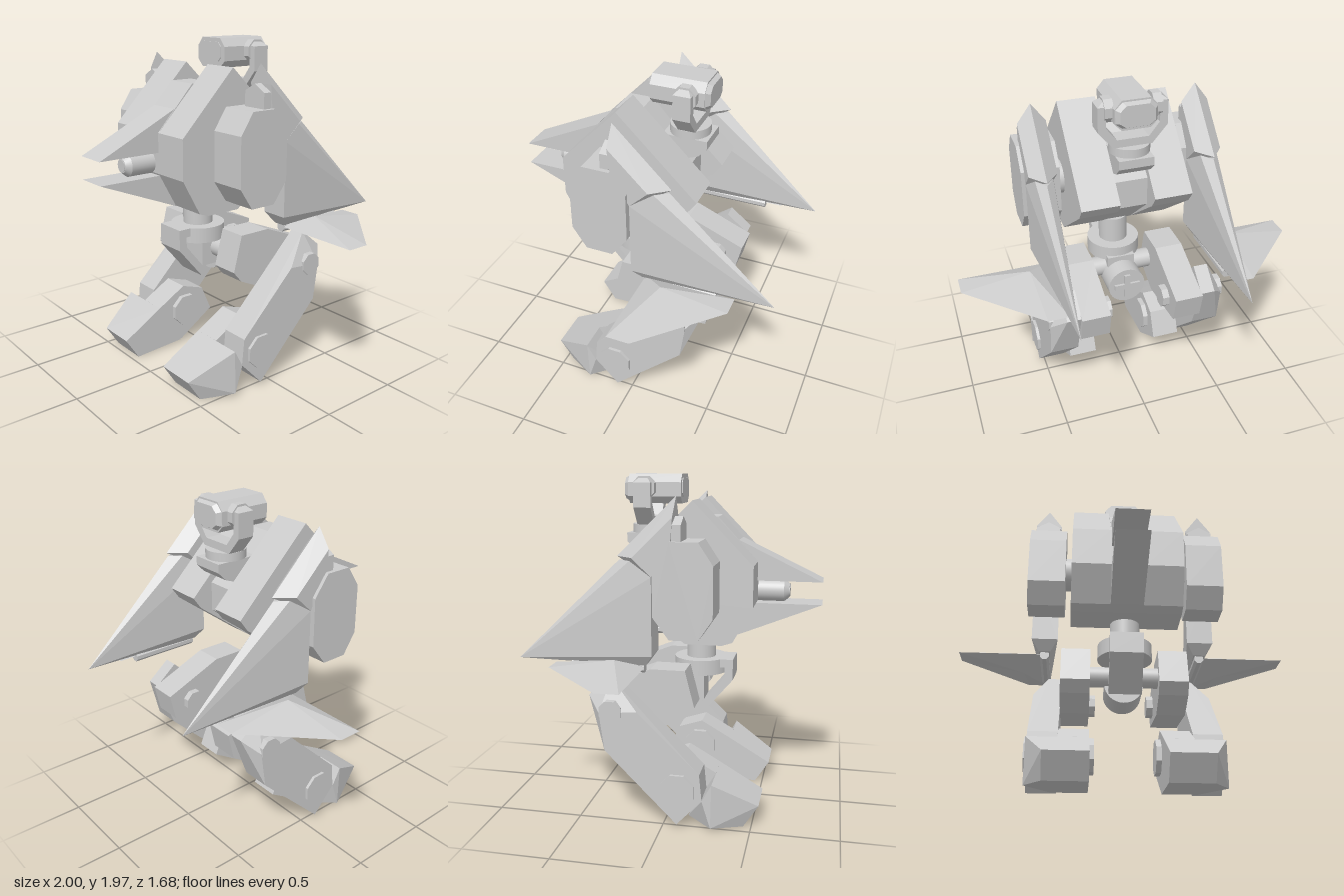
import * as THREE from 'three';
import { ConvexGeometry } from 'three/addons/geometries/ConvexGeometry.js';

const flat = new THREE.MeshStandardMaterial({ color: 0xcccccc, flatShading: true });
const smooth = new THREE.MeshStandardMaterial({ color: 0xcccccc });

export function createModel() {
  const root = new THREE.Group();

  function add(name, geometry, material = flat) {
    const mesh = new THREE.Mesh(geometry, material);
    mesh.name = name;
    root.add(mesh);
    return mesh;
  }
  // side outline of [z, y] points, extruded from x0 to x1
  function prism(name, outline, x0, x1) {
    const shape = new THREE.Shape(outline.map(([z, y]) => new THREE.Vector2(-z, y)));
    const g = new THREE.ExtrudeGeometry(shape, { depth: Math.abs(x1 - x0), bevelEnabled: false });
    g.rotateY(Math.PI / 2).translate(Math.min(x0, x1), 0, 0);
    return add(name, g);
  }
  // faceted solid around [x, y, z] corners, mirrored when s is -1
  function hull(name, points, s = 1) {
    return add(name, new ConvexGeometry(points.map(([x, y, z]) => new THREE.Vector3(x * s, y, z))));
  }
  // cylinder along an axis, centred on p
  function rod(name, axis, r0, r1, length, p, sides = 32) {
    const g = new THREE.CylinderGeometry(r1, r0, length, sides);
    if (sides <= 8) g.rotateY(Math.PI / sides);
    if (axis === 'x') g.rotateZ(-Math.PI / 2);
    if (axis === 'z') g.rotateX(Math.PI / 2);
    return add(name, g.translate(...p), sides > 8 ? smooth : flat);
  }
  function box(name, size, p) {
    return add(name, new THREE.BoxGeometry(...size).translate(...p));
  }

  // Torso: sunken middle between two shoulder blocks
  prism('torsoMiddle', [[0.24, 1.73], [0.47, 1.48], [0.47, 1.25], [0.36, 1.05], [0.3, 1.03], [0.09, 1.03],
    [-0.2, 1.28], [-0.2, 1.45], [-0.02, 1.6], [0.1, 1.73]], -0.1, 0.1);
  const shoulder = [[0.13, 1.83], [0.47, 1.48], [0.47, 1.25], [0.36, 1.05], [0.3, 1.03], [0.09, 1.03],
    [-0.28, 1.31], [-0.33, 1.38]];
  for (const s of [1, -1]) prism('shoulderBlock', shoulder, s * 0.1, s * 0.322);

  // Jaws and cannon
  prism('upperJaw', [[0.84, 1.37], [0.36, 1.6], [0.36, 1.37]], -0.095, 0.095);
  prism('lowerJaw', [[0.84, 1.24], [0.36, 1.24], [0.34, 1.04], [0.37, 1.05]], -0.095, 0.095);
  rod('cannonBarrel', 'z', 0.065, 0.065, 0.16, [0, 1.305, 0.54]);
  rod('cannonMuzzle', 'z', 0.065, 0.04, 0.03, [0, 1.305, 0.635]);
  rod('cannonBore', 'z', 0.035, 0.035, 0.01, [0, 1.305, 0.648]);

  // Neck and head
  prism('neckBase', [[-0.04, 1.63], [-0.3, 1.63], [-0.3, 1.58], [-0.25, 1.53], [-0.04, 1.45]], -0.1, 0.1);
  rod('neckDisc', 'y', 0.115, 0.115, 0.05, [0, 1.655, -0.17]);
  const headShape = new THREE.Shape([[-0.12, 1.84], [-0.08, 1.8], [0.08, 1.8], [0.12, 1.84],
    [0.12, 1.92], [0.08, 1.967], [-0.08, 1.967], [-0.12, 1.92]].map(p => new THREE.Vector2(...p)));
  add('head', new THREE.ExtrudeGeometry(headShape, { depth: 0.31, bevelEnabled: false }).translate(0, 0, -0.285));
  hull('headBack', [[-0.08, 1.81], [0.08, 1.81], [0.12, 1.84], [0.12, 1.92], [0.08, 1.96], [-0.08, 1.96],
    [-0.12, 1.92], [-0.12, 1.84]].flatMap(([x, y]) => [[x, y, -0.28], [x * 0.8, 1.885 + (y - 1.885) * 0.8, -0.31]]));
  const visor = new THREE.Shape([[-0.09, 1.86], [-0.065, 1.835], [0.065, 1.835], [0.09, 1.86],
    [0.09, 1.92], [0.065, 1.945], [-0.065, 1.945], [-0.09, 1.92]].map(p => new THREE.Vector2(...p)));
  add('visor', new THREE.ExtrudeGeometry(visor, { depth: 0.01, bevelEnabled: false }).translate(0, 0, 0.02));
  // U-shaped head bracket
  const yoke = new THREE.Shape([[-0.195, 1.92], [-0.195, 1.78], [-0.11, 1.68], [0.11, 1.68], [0.195, 1.78],
    [0.195, 1.92], [0.15, 1.92], [0.15, 1.8], [0.09, 1.725], [-0.09, 1.725], [-0.15, 1.8], [-0.15, 1.92]]
    .map(p => new THREE.Vector2(...p)));
  add('headBracket', new THREE.ExtrudeGeometry(yoke, { depth: 0.1, bevelEnabled: false }).translate(0, 0, -0.235));
  for (const s of [1, -1]) {
    rod('headPivot', 'x', 0.07, 0.07, 0.05, [s * 0.135, 1.89, -0.185], 8);
    hull('bracketTip', [[0.15, 1.92, -0.235], [0.195, 1.92, -0.235], [0.15, 1.92, -0.135], [0.195, 1.92, -0.135],
      [0.15, 1.95, -0.205], [0.15, 1.95, -0.165]], s);
  }

  // Waist and pelvis
  rod('waist', 'y', 0.088, 0.088, 0.18, [0, 0.96, 0.13]);
  rod('hipDisc', 'y', 0.16, 0.16, 0.09, [0, 0.845, 0.13]);
  prism('frontGuard', [[0.1, 0.89], [0.335, 0.89], [0.335, 0.765], [0.175, 0.575], [0.145, 0.61],
    [0.285, 0.78], [0.285, 0.84], [0.1, 0.84]], -0.095, 0.095);
  box('pelvis', [0.17, 0.2, 0.2], [0, 0.73, 0.06]);
  rod('hipAxle', 'x', 0.06, 0.06, 0.42, [0, 0.73, 0.04]);
  // Round rear vent with a cross
  rod('rearVent', 'z', 0.115, 0.115, 0.2, [0, 0.685, -0.05]);
  box('ventCross', [0.16, 0.035, 0.02], [0, 0.685, -0.155]);
  box('ventCross', [0.035, 0.16, 0.02], [0, 0.685, -0.155]);

  for (const s of [1, -1]) {
    // Arm pod
    rod('armAxle', 'x', 0.1, 0.1, 0.1, [s * 0.34, 1.37, 0.12]);
    prism('armPod', [[0.21, 1.63], [0.055, 1.63], [-0.035, 1.51], [-0.035, 1.23], [0.055, 1.11],
      [0.21, 1.11], [0.29, 1.23], [0.29, 1.51]], s * 0.36, s * 0.58);
    hull('podKnob', [0.065, 0.115].flatMap(z => [[0.405, 1.6, z], [0.555, 1.6, z], [0.555, 1.715, z],
      [0.48, 1.757, z], [0.405, 1.715, z]]), s);

    // Tall back blade with a ridged cap
    hull('bladeCap', [[0.48, 1.86, 0.075], [0.48, 1.54, -0.25],
      ...[0.4, 0.56].flatMap(x => [[x, 1.755, 0.07], [x, 1.54, -0.15], [x, 1.63, 0.06], [x, 1.44, -0.045]])], s);
    hull('backBlade', [[0.48, 1.52, -0.24], [0.48, 0.945, -0.84],
      ...[-1, 1].flatMap(k => [[0.48 + k * 0.08, 1.44, -0.045], [0.48 + k * 0.05, 1.52, -0.17],
        [0.48 + k * 0.08, 1.01, -0.045], [0.48 + k * 0.035, 0.945, -0.09]])], s);

    // Flat side fin with its hinge
    hull('sideFin', [[0.48, 0.93, -0.1], [1, 0.93, -0.1], [1, 0.93, -0.23], [0.6, 0.93, -0.62],
      [0.48, 0.93, -0.62], [0.61, 0.995, -0.24], [0.61, 0.868, -0.26]], s);
    rod('finHinge', 'z', 0.03, 0.03, 0.42, [s * 0.48, 0.928, -0.31], 8);

    // Thigh
    prism('thigh', [[0.1, 0.885], [0.155, 0.67], [0.1, 0.605], [-0.05, 0.535], [-0.425, 0.58],
      [-0.46, 0.74], [-0.1, 0.885]], s * 0.2, s * 0.372);

    // Shin, bevelled on the outer upper edge
    const shin = [[-0.305, 0.85], [-0.44, 0.74], [-0.33, 0.44], [0.085, 0.025], [0.23, 0.18], [0.215, 0.335]];
    hull('shin', [...shin.map(([z, y]) => [0.37, y, z]), [0.455, 0.85, -0.305], [0.455, 0.74, -0.44],
      [0.537, 0.68, -0.14], [0.537, 0.66, -0.36], ...shin.slice(2).map(([z, y]) => [0.537, y, z])], s);
    rod('kneeBolt', 'x', 0.068, 0.068, 0.385, [s * 0.3525, 0.67, -0.295], 8);

    // Foot
    rod('ankleBolt', 'x', 0.103, 0.103, 0.385, [s * 0.3625, 0.232, 0.09], 8);
    prism('ankle', [[0.285, 0.285], [0.1, 0.39], [-0.05, 0.34], [-0.12, 0.18], [0.12, 0.025], [0.3, 0.015]],
      s * 0.2, s * 0.37);
    hull('toe', [[0.2, 0.135, 0.54], [0.2, 0.002, 0.455], [0.2, 0.285, 0.285], [0.2, 0.02, 0.13],
      [0.44, 0.135, 0.54], [0.44, 0.002, 0.455], [0.54, 0.283, 0.285], [0.54, 0.18, 0.23],
      [0.54, 0.02, 0.28], [0.4, 0.02, 0.13]], s);
  }
  return root;
}
